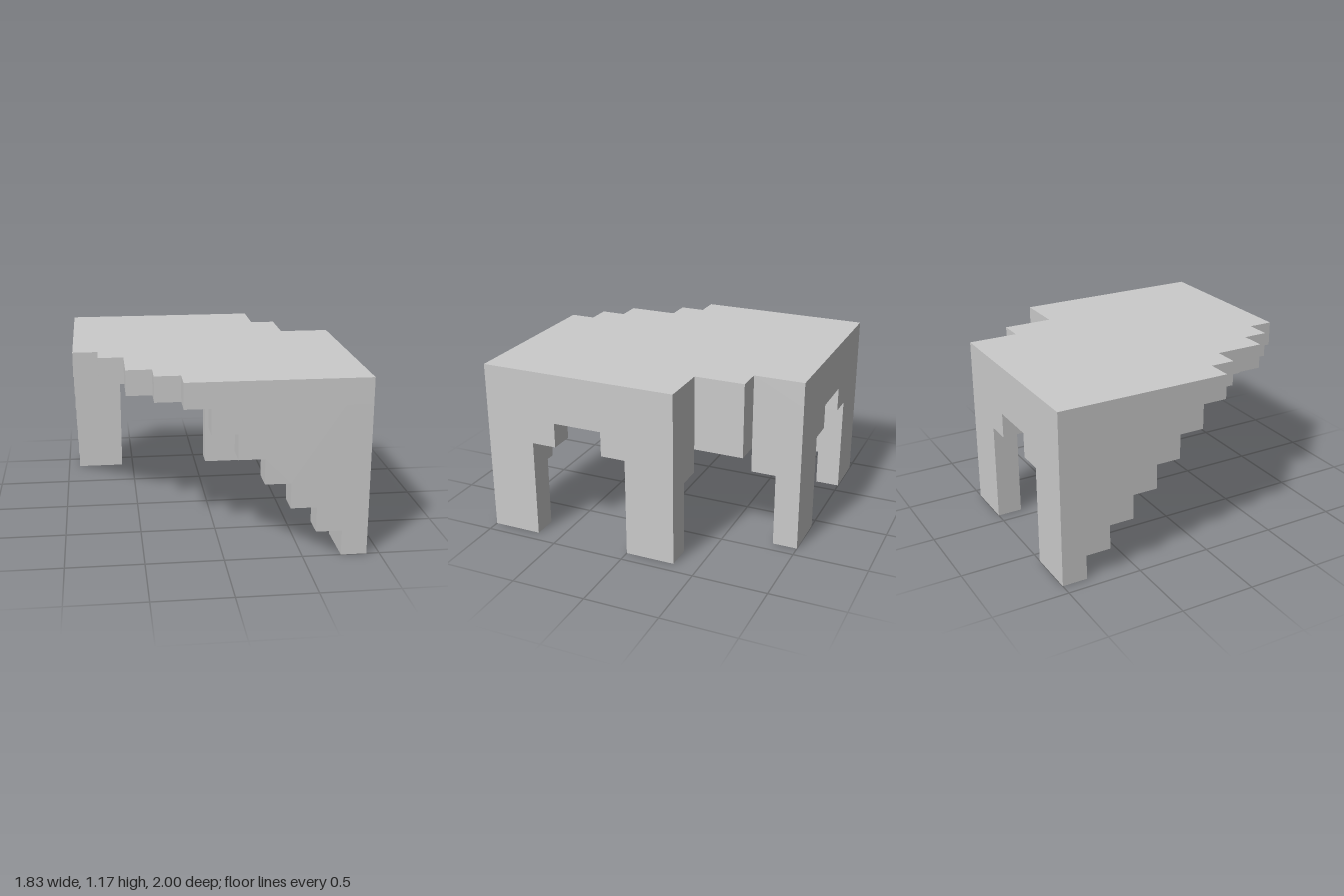
import * as THREE from 'three';

// Everything sits on a grid of 11 x 7 x 12 cells, each 1/6 unit wide.
const CELL = 1 / 6;
const material = new THREE.MeshStandardMaterial({ color: 0xcccccc, flatShading: true });

export function createModel() {
  const group = new THREE.Group();

  const add = (name, geometry, x, y, z) => {
    geometry.translate(x - 5.5, y, z - 6).scale(CELL, CELL, CELL);
    const mesh = new THREE.Mesh(geometry, material);
    mesh.name = name;
    group.add(mesh);
  };

  // One-cell-thick slab from a stepped outline
  const slab = (points) => new THREE.ExtrudeGeometry(
    new THREE.Shape(points.map(([a, b]) => new THREE.Vector2(a, b))),
    { depth: 1, bevelEnabled: false });
  const alongX = (points) => slab(points);
  const alongZ = (points) => slab(points).rotateY(-Math.PI / 2).translate(1, 0, 0);

  // Wall with two legs, two cells wide, and a stepped arch between them
  const archWall = [[0, 0], [2, 0], [2, 4], [3, 4], [3, 5], [5, 5], [5, 4], [6, 4], [6, 0], [8, 0], [8, 6], [0, 6]];

  // Inverted staircase, one cell longer with each cell of height
  const stairWall = [[0, 6], [0, 1]];
  for (let i = 1; i <= 5; i++) stairWall.push([i, i], [i, i + 1]);

  // Roof with stepped corners
  const roof = slab([
    [0, 0], [8, 0], [8, 2], [9, 2], [9, 4], [11, 4], [11, 12],
    [4, 12], [4, 11], [3, 11], [3, 10], [2, 10], [2, 8], [1, 8], [1, 7], [0, 7],
  ]).rotateX(Math.PI / 2);
  add('roof', roof, 0, 7, 0);

  // Arched walls at the back and on the left
  add('backArchWall', alongX(archWall), 0, 0, 0);
  add('leftArchWall', alongZ(archWall), 10, 0, 4);

  // Stepped walls: one runs forward on the right, one runs across the front
  add('rightStairWall', alongZ(stairWall), 0, 0, 1);
  const mirrored = stairWall.map(([a, b]) => [-a, b]);
  add('frontStairWall', alongX(mirrored), 10, 0, 11);

  // Hanging blocks around the notched back corner: x, z, depth, underside
  for (const [x, z, depth, low] of [[9, 4, 1, 3], [8, 2, 2, 4], [7, 1, 1, 3]]) {
    const height = 6 - low;
    add('hangingBlock', new THREE.BoxGeometry(1, height, depth), x + 0.5, low + height / 2, z + depth / 2);
  }
  return group;
}
